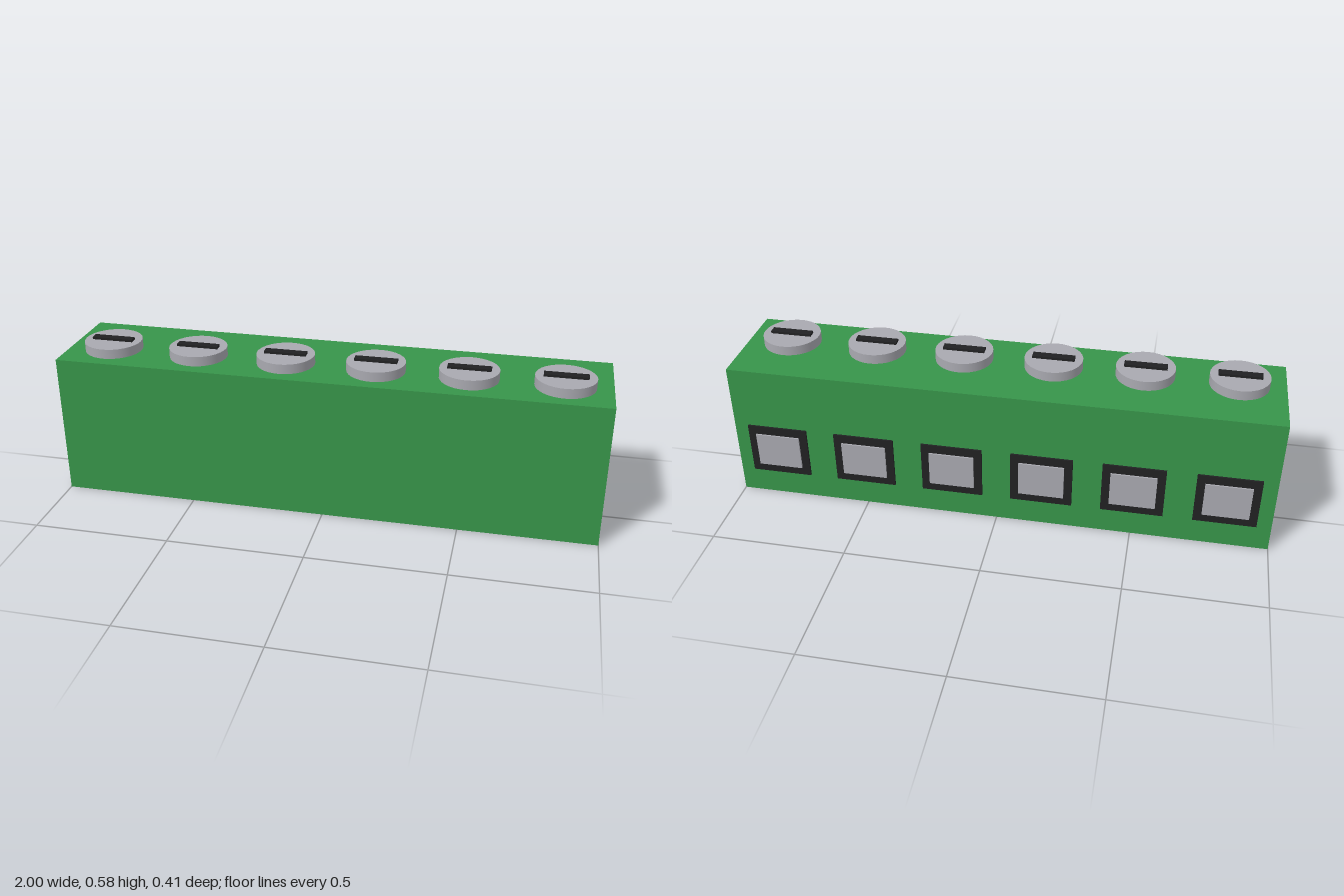
import * as THREE from 'three';

const green = new THREE.MeshStandardMaterial({ name: 'green housing', color: 0x37954a });
const grey = new THREE.MeshStandardMaterial({ name: 'grey metal', color: 0xa9a9b0 });
const black = new THREE.MeshStandardMaterial({ name: 'black', color: 0x212123 });

const COUNT = 6;
const PITCH = 2 / COUNT;
const TOP = 0.533;
const BACK = -0.193;

function addMesh(parent, name, geometry, material, x, y, z) {
  const mesh = new THREE.Mesh(geometry, material);
  mesh.name = name;
  mesh.position.set(x, y, z);
  parent.add(mesh);
}

export function createModel() {
  const model = new THREE.Group();
  model.name = 'terminalBlock';

  // Housing
  addMesh(model, 'housing', new THREE.BoxGeometry(2, TOP, 0.4), green, 0, TOP / 2, BACK + 0.2);

  const screwHead = new THREE.CylinderGeometry(0.107, 0.107, 0.036, 32);
  const slot = new THREE.BoxGeometry(0.155, 0.009, 0.031);
  const frame = new THREE.BoxGeometry(0.227, 0.2, 0.007);
  const clamp = new THREE.BoxGeometry(0.167, 0.134, 0.006);

  // One screw on top and one wire entry at the back for each terminal
  for (let i = 0; i < COUNT; i++) {
    const terminal = new THREE.Group();
    terminal.name = `terminal${i + 1}`;
    terminal.position.x = -1 + PITCH * (i + 0.5);
    addMesh(terminal, 'screwHead', screwHead, grey, 0, TOP + 0.018, 0.053);
    addMesh(terminal, 'screwSlot', slot, black, 0, TOP + 0.0405, 0.053);
    addMesh(terminal, 'wireEntryFrame', frame, black, 0, 0.2, BACK - 0.0035);
    addMesh(terminal, 'wireClamp', clamp, grey, 0, 0.2, BACK - 0.01);
    model.add(terminal);
  }
  return model;
}
